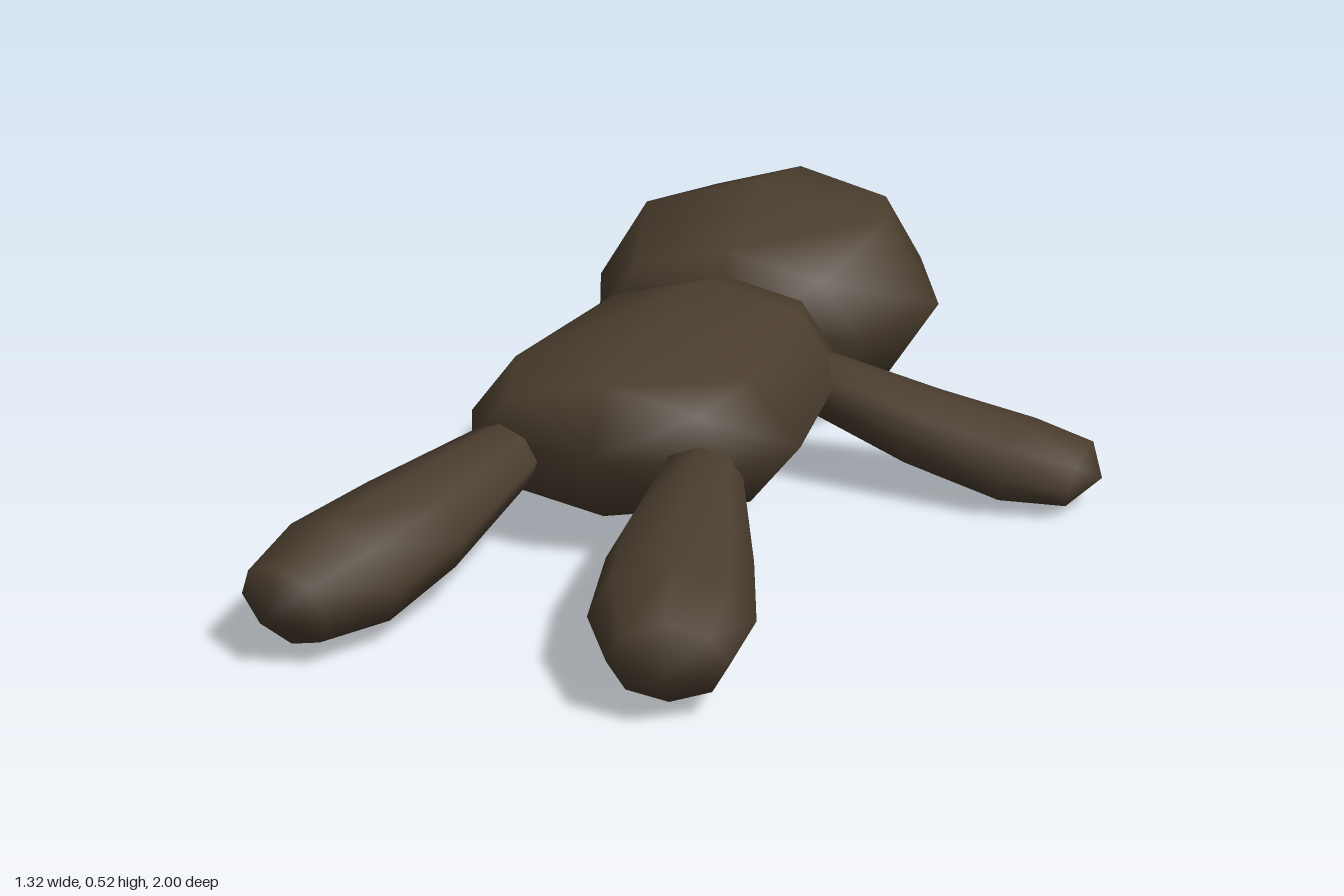
import * as THREE from 'three';
import { mergeVertices } from 'three/addons/utils/BufferGeometryUtils.js';

const SIDES = 8;
const MID = -0.2; // the doll's own centre line

// Smooth low-poly loft: rings are [x, y, z, halfWidth, halfHeight], square to the axis
function loft(rings, axis) {
  const d = new THREE.Vector3(...axis).normalize();
  const u = new THREE.Vector3(0, 1, 0).cross(d).normalize();
  const v = d.clone().cross(u);
  const pos = [], idx = [];
  for (const [x, y, z, w, h] of rings) {
    for (let j = 0; j < SIDES; j++) {
      const a = (j / SIDES) * Math.PI * 2;
      const p = new THREE.Vector3(x, y, z)
        .addScaledVector(u, Math.cos(a) * w)
        .addScaledVector(v, Math.sin(a) * h);
      pos.push(p.x, p.y, p.z);
    }
  }
  const last = rings.length - 1;
  for (let i = 0; i < last; i++) {
    for (let j = 0; j < SIDES; j++) {
      const k = (j + 1) % SIDES;
      const a = i * SIDES + j, b = i * SIDES + k;
      if (rings[i][3] > 0) idx.push(a, b, b + SIDES);
      if (rings[i + 1][3] > 0) idx.push(a, b + SIDES, a + SIDES);
      else if (rings[i][3] === 0) continue;
    }
  }
  let g = new THREE.BufferGeometry();
  g.setAttribute('position', new THREE.Float32BufferAttribute(pos, 3));
  g.setIndex(idx);
  g = mergeVertices(g, 1e-4);
  g.computeVertexNormals();
  return g;
}

export function createModel() {
  const group = new THREE.Group();
  const brown = new THREE.MeshStandardMaterial({ color: 0x4a3d2e });
  brown.name = 'dark brown';

  const add = (name, rings, axis) => {
    const mesh = new THREE.Mesh(loft(rings, axis), brown);
    mesh.name = name;
    group.add(mesh);
  };

  // Head
  add('head', [
    [MID, 0.3, -1.0, 0, 0],
    [MID, 0.3, -0.89, 0.3, 0.2],
    [MID, 0.27, -0.62, 0.41, 0.26],
    [MID, 0.25, -0.345, 0.3, 0.18],
    [MID, 0.25, -0.3, 0, 0],
  ], [0, 0, 1]);

  // Body
  add('body', [
    [MID, 0.24, -0.4, 0, 0],
    [MID, 0.235, -0.35, 0.24, 0.14],
    [MID, 0.22, -0.21, 0.3, 0.18],
    [MID, 0.215, 0.22, 0.345, 0.175],
    [MID, 0.22, 0.375, 0.27, 0.13],
    [MID, 0.22, 0.42, 0, 0],
  ], [0, 0, 1]);

  // Legs, mirrored about the doll's centre line
  for (const [name, s] of [['leftLeg', 1], ['rightLeg', -1]]) {
    const rings = [
      [0.18, 0.2, 0.31, 0, 0],
      [0.2, 0.195, 0.38, 0.08, 0.065],
      [0.26, 0.15, 0.655, 0.13, 0.095],
      [0.31, 0.122, 0.83, 0.142, 0.104],
      [0.35, 0.105, 0.955, 0.1, 0.076],
      [0.36, 0.1, 1.0, 0, 0],
    ].map(([x, ...rest]) => [MID + s * x, ...rest]);
    add(name, rings, [s * 0.16, -0.1, 0.62]);
  }

  // Left arm, stretched out
  add('leftArm', [
    [-0.02, 0.21, -0.225, 0, 0],
    [0.05, 0.2, -0.22, 0.1, 0.06],
    [0.28, 0.13, -0.205, 0.125, 0.077],
    [0.485, 0.085, -0.192, 0.142, 0.082],
    [0.615, 0.068, -0.19, 0.112, 0.063],
    [0.66, 0.06, -0.2, 0, 0],
  ], [0.6, -0.14, 0.02]);

  // Right arm, shorter
  add('rightArm', [
    [-0.36, 0.2, -0.19, 0, 0],
    [-0.41, 0.19, -0.18, 0.075, 0.06],
    [-0.52, 0.14, -0.168, 0.096, 0.075],
    [-0.62, 0.1, -0.14, 0.075, 0.06],
    [-0.66, 0.085, -0.135, 0, 0],
  ], [-0.3, -0.115, 0.06]);

  return group;
}
